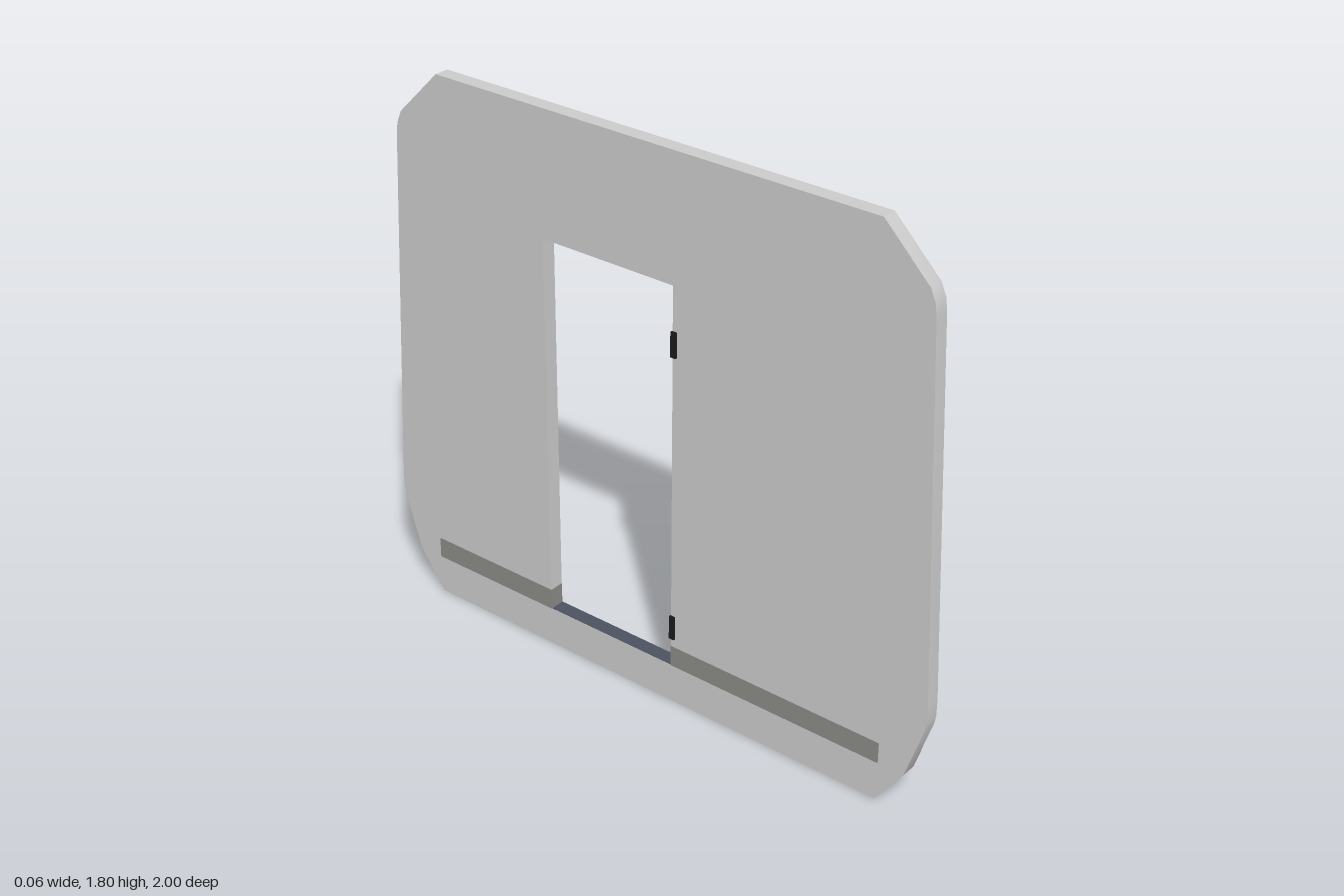
import * as THREE from 'three';
import { toCreasedNormals } from 'three/addons/utils/BufferGeometryUtils.js';

const OUTER = 0.026, INNER = -0.022;          // wall faces along x
const DOOR = { z0: -0.375, z1: 0.1, y0: 0.13, y1: 1.4 };
const SKIN = 0.001;                           // thickness of painted strips

const material = (color) => new THREE.MeshStandardMaterial({ color });
const wallMat = material(0xcccccc);
const stripeMat = material(0x8a8a86);
const sillMat = material(0x4b5260);
const hingeMat = material(0x1c1c1e);

// Polygon in the (z, y) plane
const polygon = (pts) => new THREE.Shape(pts.map(([z, y]) => new THREE.Vector2(z, y)));

// Extrude a (z, y) shape from face x towards -x
function plate(name, shape, depth, x, mat) {
  const geometry = new THREE.ExtrudeGeometry(shape, { depth, bevelEnabled: false });
  const mesh = new THREE.Mesh(toCreasedNormals(geometry, Math.PI / 7), mat);
  mesh.name = name;
  mesh.rotation.y = -Math.PI / 2;
  mesh.position.x = x;
  return mesh;
}

// Box given by its limits
function box(name, x0, x1, y0, y1, z0, z1, mat) {
  const mesh = new THREE.Mesh(new THREE.BoxGeometry(x1 - x0, y1 - y0, z1 - z0), mat);
  mesh.name = name;
  mesh.position.set((x0 + x1) / 2, (y0 + y1) / 2, (z0 + z1) / 2);
  return mesh;
}

export function createModel() {
  const group = new THREE.Group();
  group.name = 'wallWithDoorway';

  // Wall panel with a doorway, symmetric outline
  const half = [[0.845, 0], [0.937, 0.13], [0.995, 0.31], [1, 0.34], [1, 0.4],
    [0.942, 1.57], [0.937, 1.61], [0.92, 1.65], [0.77, 1.8]];
  const wall = polygon([...half, ...half.map(([z, y]) => [-z, y]).reverse()]);
  const { z0, z1, y0, y1 } = DOOR;
  wall.holes.push(polygon([[z0, y0], [z0, y1], [z1, y1], [z1, y0]]));
  group.add(plate('wall', wall, OUTER - INNER, OUTER, wallMat));

  // Stripe on the outer face, running out to the wall's edge
  const s0 = 0.13, s1 = 0.2;
  for (const [side, jamb] of [[1, z1], [-1, z0]]) {
    const strip = polygon([[jamb, s0], [side * 0.937, s0], [side * 0.96, s1], [jamb, s1]]);
    group.add(plate('outerStripe', strip, SKIN, OUTER + SKIN, stripeMat));
    // Stripe on the inner face, stopping short of the edge
    const inner = [jamb, side * 0.85].sort((a, b) => a - b);
    group.add(box('innerStripe', INNER - SKIN, INNER, s0, s1, ...inner, stripeMat));
    // Stripe carried through the door jamb
    const lining = [jamb, jamb - side * SKIN].sort((a, b) => a - b);
    group.add(box('jambStripe', INNER, OUTER, s0, s1, ...lining, stripeMat));
  }

  // Door sill with its panel on the outer face
  group.add(box('doorSill', INNER + SKIN, OUTER + SKIN, 0.045, y0 + SKIN, z0, z1, sillMat));

  // Hinges on the inner face beside the doorway
  for (const y of [0.27, 1.22]) {
    group.add(box('hinge', INNER - 0.007, INNER, y - 0.04, y + 0.04, z1 - 0.003, z1 + 0.015, hingeMat));
  }
  return group;
}
